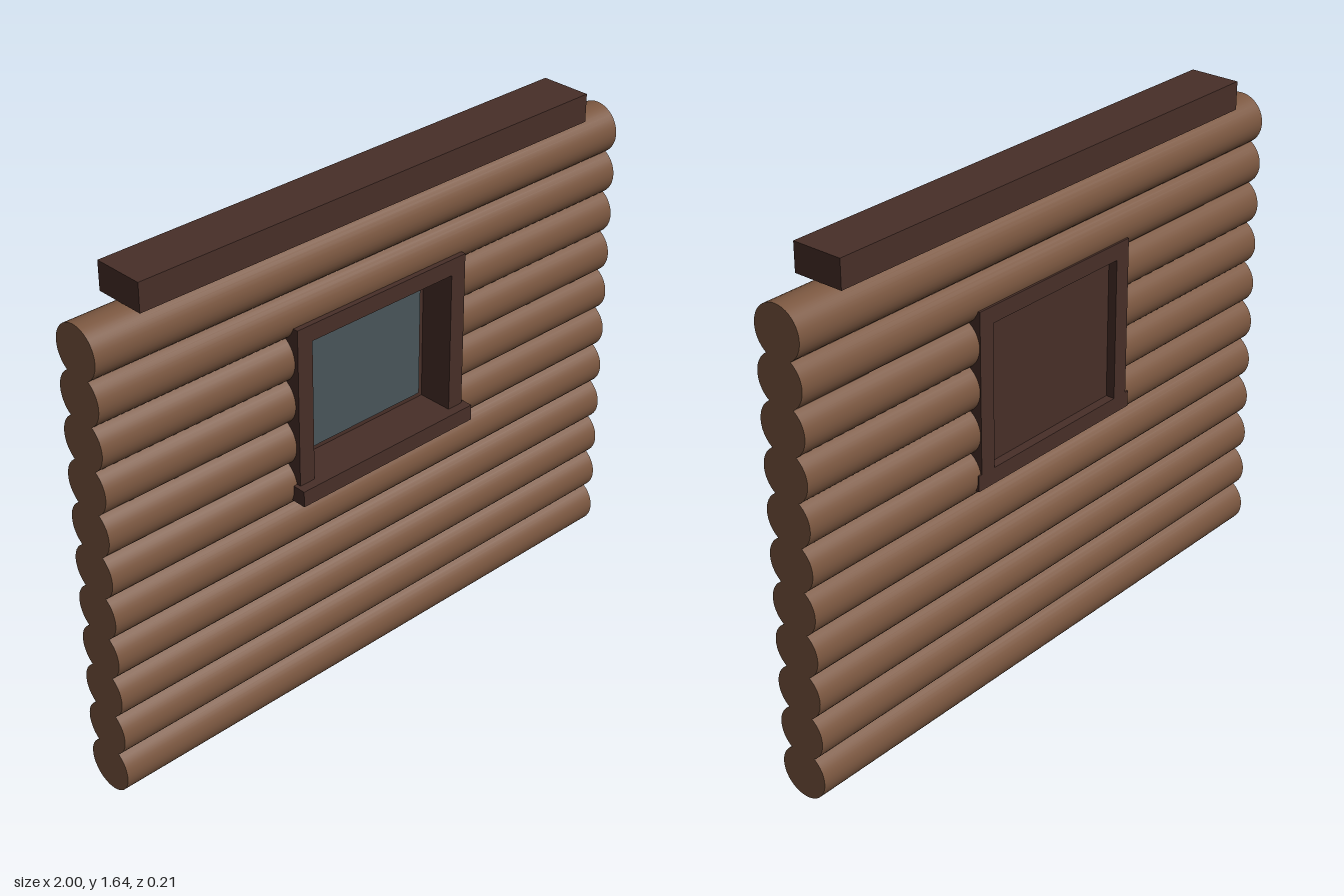
import * as THREE from 'three';

const logWood = new THREE.MeshStandardMaterial({ color: 0x7b5740 });
logWood.name = 'logWood';
const darkWood = new THREE.MeshStandardMaterial({ color: 0x482f28 });
darkWood.name = 'darkWood';
const glass = new THREE.MeshStandardMaterial({ color: 0x4a565b });
glass.name = 'glass';

const LOG_Z = -0.02, LOG_R = 0.082, LOG_STEP = 0.1383;

// Box given by its extents on each axis
function box(name, material, [x0, x1], [y0, y1], [z0, z1]) {
  const mesh = new THREE.Mesh(new THREE.BoxGeometry(x1 - x0, y1 - y0, z1 - z0), material);
  mesh.position.set((x0 + x1) / 2, (y0 + y1) / 2, (z0 + z1) / 2);
  mesh.name = name;
  return mesh;
}

// Horizontal round log from x0 to x1
function log(name, x0, x1, y) {
  const geometry = new THREE.CylinderGeometry(LOG_R, LOG_R, x1 - x0, 40);
  geometry.rotateZ(Math.PI / 2);
  const mesh = new THREE.Mesh(geometry, logWood);
  mesh.position.set((x0 + x1) / 2, y, LOG_Z);
  mesh.name = name;
  return mesh;
}

export function createModel() {
  const model = new THREE.Group();
  model.name = 'logWallWithWindow';

  // Stacked logs; four courses are interrupted by the window opening
  const wall = new THREE.Group();
  wall.name = 'logWall';
  for (let i = 0; i < 11; i++) {
    const y = 0.084 + i * LOG_STEP;
    if (i >= 5 && i <= 8) {
      wall.add(log('rightShortLog', -1, -0.277, y), log('leftShortLog', 0.277, 1, y));
    } else {
      wall.add(log('fullLog', -1, 1, y));
    }
  }
  model.add(wall);

  // Beam lying along the top
  model.add(box('topBeam', darkWood, [-0.85, 0.85], [1.555, 1.645], [-0.105, 0.062]));

  // Window frame, running through the whole wall
  const frame = new THREE.Group();
  frame.name = 'window';
  const depth = [-0.105, 0.075];
  frame.add(
    box('lintel', darkWood, [-0.33, 0.33], [1.25, 1.303], depth),
    box('rightJamb', darkWood, [-0.33, -0.275], [0.788, 1.25], depth),
    box('leftJamb', darkWood, [0.275, 0.33], [0.788, 1.25], depth),
    box('sill', darkWood, [-0.343, 0.343], [0.738, 0.79], [-0.105, 0.105]),
    // Backing panel with the pane on its front
    box('backPanel', darkWood, [-0.275, 0.275], [0.79, 1.25], [-0.075, -0.042]),
    box('pane', glass, [-0.256, 0.256], [0.808, 1.248], [-0.042, -0.035])
  );
  model.add(frame);

  return model;
}
